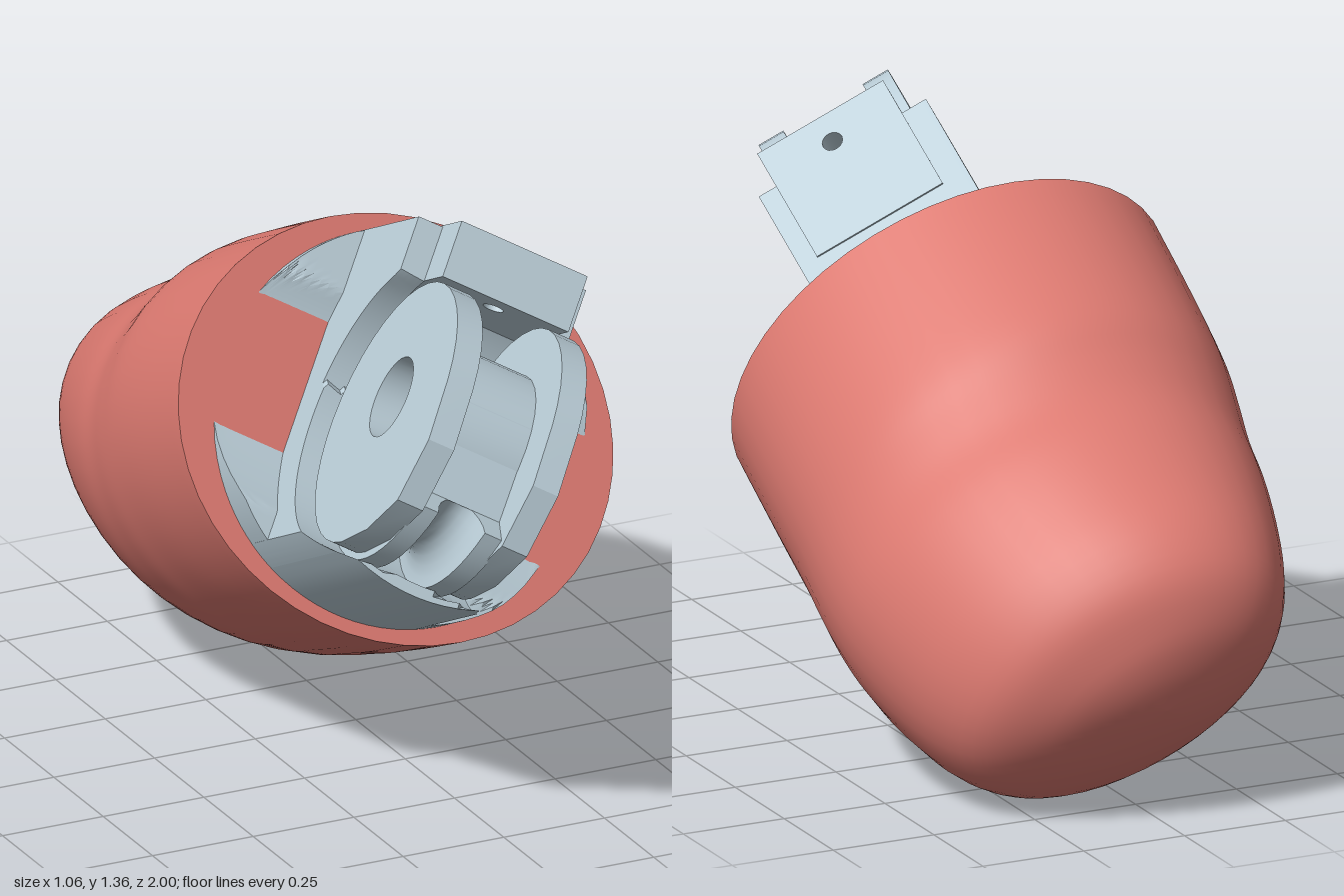
import * as THREE from 'three';
import { toCreasedNormals } from 'three/addons/utils/BufferGeometryUtils.js';

const red = new THREE.MeshStandardMaterial({ color: 0xdd7a71, side: THREE.DoubleSide });
red.name = 'coral red';
const blue = new THREE.MeshStandardMaterial({ color: 0xbccfd9, side: THREE.DoubleSide });
blue.name = 'pale steel blue';

const SOCKET = 0.45;                 // radius of the socket inside the shell
const PIN_W = -0.088, PIN_N = 0.435; // wheel centre, across and forward of the rim
const TOP_W = 0.38;                  // flat top of the socket body

function add(parent, name, geo, mat) {
  const m = new THREE.Mesh(geo, mat);
  m.name = name;
  parent.add(m);
  return m;
}

// Shell sections: depth behind rim, top, bottom, left, right, shear
const sections = [
  [0, 0.495, -0.494, -0.527, 0.51, -0.11],
  [0.25, 0.497, -0.487, -0.513, 0.52, -0.12],
  [0.43, 0.492, -0.476, -0.497, 0.527, -0.13],
  [0.54, 0.466, -0.47, -0.483, 0.532, -0.14],
  [0.64, 0.449, -0.46, -0.464, 0.534, -0.15],
  [0.76, 0.451, -0.443, -0.443, 0.53, -0.16],
  [0.9, 0.443, -0.412, -0.405, 0.505, -0.19],
  [1.05, 0.423, -0.358, -0.35, 0.458, -0.24],
  [1.16, 0.37, -0.275, -0.29, 0.39, -0.3],
  [1.23, 0.275, -0.145, -0.21, 0.27, -0.34],
  [1.265, 0.17, -0.02, -0.1, 0.14, -0.2],
  [1.276, 0.07, 0.07, 0.02, 0.02, 0],
];
const SIDES = 48, RINGS = 45;

// Each column of the table runs as a smooth curve over the depth
const columns = [1, 2, 3, 4, 5].map(c =>
  new THREE.SplineCurve(sections.map(s => new THREE.Vector2(s[0], s[c]))));

function ring(t) {
  const [top, bottom, left, right, shear] = columns.map(c => c.getPoint(t).y);
  const b = (top - bottom) / 2, cv = (top + bottom) / 2;
  const w = (right - left) / 2, cu = (left + right) / 2;
  const a = Math.sqrt(Math.max(0, w * w - shear * shear * b * b));
  return Array.from({ length: SIDES }, (_, j) => {
    const q = (j / SIDES) * Math.PI * 2, v = b * Math.sin(q);
    return new THREE.Vector2(cu + a * Math.cos(q) + shear * v, cv + v);
  });
}

function shellGeometry() {
  const pos = [], idx = [];
  for (let i = 0; i < RINGS; i++) {
    const t = i / (RINGS - 1), depth = columns[0].getPoint(t).x;
    ring(t).forEach((p, j) => {
      pos.push(p.x, p.y, -depth);
      if (i === RINGS - 1) return;
      const a = i * SIDES + j, b = i * SIDES + (j + 1) % SIDES;
      idx.push(a, a + SIDES, b, b, a + SIDES, b + SIDES);
    });
  }
  const g = new THREE.BufferGeometry();
  g.setAttribute('position', new THREE.Float32BufferAttribute(pos, 3));
  g.setIndex(idx);
  g.computeVertexNormals();
  return g;
}

// Height left by a cylinder cut across the socket
const cut = (w, centre, radius) =>
  PIN_N - Math.sqrt(Math.max(0, radius * radius - (w - centre) ** 2));

// Slice of the round socket from a0 to a1 whose front follows height(w)
function carved(a0, a1, height) {
  const g = new THREE.BoxGeometry(1, 1, 1, 10, 60, 1);
  const p = g.attributes.position;
  for (let i = 0; i < p.count; i++) {
    const a = THREE.MathUtils.lerp(a0, a1, p.getX(i) + 0.5);
    const edge = Math.sqrt(Math.max(0, SOCKET * SOCKET - a * a));
    const w = THREE.MathUtils.lerp(-edge, Math.min(edge, TOP_W), p.getY(i) + 0.5);
    p.setXYZ(i, a, w, p.getZ(i) > 0 ? height(w) : -0.12);
  }
  return toCreasedNormals(g, 0.5);
}

// Plate around the pin from a0 to a1, drilled for the pin
function pinPlate(a0, a1, shape) {
  const hole = new THREE.Path();
  hole.absarc(0, 0.037, 0.097, 0, Math.PI * 2, true);
  shape.holes.push(hole);
  const g = new THREE.ExtrudeGeometry(shape, { depth: a1 - a0, bevelEnabled: false, curveSegments: 14 });
  g.rotateY(Math.PI / 2).translate(a0, PIN_W, PIN_N);
  return toCreasedNormals(g, 0.3);
}

// Flange outline: round, with a blunt corner at the lower front (front is -x)
function flangeShape() {
  const s = new THREE.Shape();
  s.absarc(0, 0, 0.315, -Math.PI * 0.5, Math.PI * 0.95, false);
  s.lineTo(-0.322, -0.1);
  s.lineTo(-0.258, -0.24);
  s.lineTo(-0.13, -0.298);
  return s;
}

export function createModel() {
  const model = new THREE.Group();
  model.name = 'fingertip';
  const finger = new THREE.Group();
  finger.name = 'tiltedFinger';
  finger.position.set(0, 0.79, 0.22);
  finger.rotation.x = -0.461;
  model.add(finger);

  // Soft outer shell with a flat rim face
  add(finger, 'shell', shellGeometry(), red);
  add(finger, 'rimFace', new THREE.ShapeGeometry(new THREE.Shape(ring(0))), red);

  // Hinge, rolled about the finger axis: x along pin, y across, z forward
  const hinge = new THREE.Group();
  hinge.name = 'hinge';
  hinge.rotation.z = -0.567;
  finger.add(hinge);

  // Socket body: a deep middle between two cheeks, and low side flaps
  const jaw = w => Math.min(0.455, cut(w, PIN_W, 0.33));
  const cheek = w => (w < 0 ? jaw(w) : Math.min(0.335, cut(w, PIN_W, 0.35)));
  const middle = w => (w < 0 ? jaw(w) : Math.min(0.335, cut(w, PIN_W, 0.43)));
  const flap = w => Math.min(w < 0 ? 0.09 : 0.03, cut(w, 0, 0.463));
  add(hinge, 'socketBody', carved(-0.18, 0.145, middle), blue);
  add(hinge, 'leftCheek', carved(0.145, 0.19, cheek), blue);
  add(hinge, 'rightCheek', carved(-0.242, -0.18, cheek), blue);
  add(hinge, 'leftFlap', carved(0.185, 0.447, flap), blue);
  add(hinge, 'rightFlap', carved(-0.447, -0.238, flap), blue);

  // Drilled stop lip overhanging the wheel
  const lipShape = new THREE.Shape();
  lipShape.moveTo(-0.18, 0.1).lineTo(0.145, 0.1).lineTo(0.145, 0.44).lineTo(-0.18, 0.44);
  const drill = new THREE.Path();
  drill.absarc(-0.014, 0.362, 0.024, 0, Math.PI * 2, true);
  lipShape.holes.push(drill);
  const lip = new THREE.ExtrudeGeometry(lipShape, { depth: 0.135, bevelEnabled: false, curveSegments: 8 });
  lip.rotateX(Math.PI / 2).translate(0, TOP_W + 0.004, 0);
  add(hinge, 'stopLip', toCreasedNormals(lip, 0.6), blue);

  // Two flanges, the drum between them and its web to the socket
  add(hinge, 'rightFlange', pinPlate(-0.2, -0.135, flangeShape()), blue);
  add(hinge, 'leftFlange', pinPlate(0.07, 0.134, flangeShape()), blue);
  const drumShape = new THREE.Shape();
  drumShape.absarc(0, 0, 0.2, 0, Math.PI * 2);
  add(hinge, 'drum', pinPlate(-0.14, 0.075, drumShape), blue);
  const web = add(hinge, 'web', new THREE.BoxGeometry(0.21, 0.34, 0.36), blue);
  web.position.set(-0.033, PIN_W, 0.13);

  // Flat ramp from the drum down to the grooved rim
  const ramp = new THREE.Shape();
  ramp.moveTo(-0.12, 0).lineTo(-0.194, 0.05).lineTo(-0.19, -0.176).lineTo(-0.12, -0.11);
  const rampGeo = new THREE.ExtrudeGeometry(ramp, { depth: 0.211, bevelEnabled: false });
  add(hinge, 'ramp', rampGeo.rotateY(Math.PI / 2).translate(-0.138, PIN_W, PIN_N), blue);

  // Grooved rim sector between the flanges
  const RIM = 0.332;
  const profile = [[0.15, -0.14], [RIM, -0.14]];
  for (let i = 0; i <= 10; i++) {
    const t = (i / 10) * Math.PI;
    profile.push([RIM - 0.085 * Math.sin(t), -0.033 - 0.06 * Math.cos(t)]);
  }
  profile.push([RIM, 0.075], [0.15, 0.075]);
  const pts = profile.map(([r, a]) => new THREE.Vector2(r, a));
  const start = 0.746, span = 2;
  const place = g => g.rotateZ(-Math.PI / 2).translate(0, PIN_W, PIN_N);
  add(hinge, 'groovedRim',
    toCreasedNormals(place(new THREE.LatheGeometry(pts, 16, start, span)), 0.6), blue);
  for (const phi of [start, start + span]) {
    const end = new THREE.ShapeGeometry(new THREE.Shape(pts));
    add(hinge, 'rimEnd', place(end.rotateY(phi - Math.PI / 2)), blue);
  }
  return model;
}
